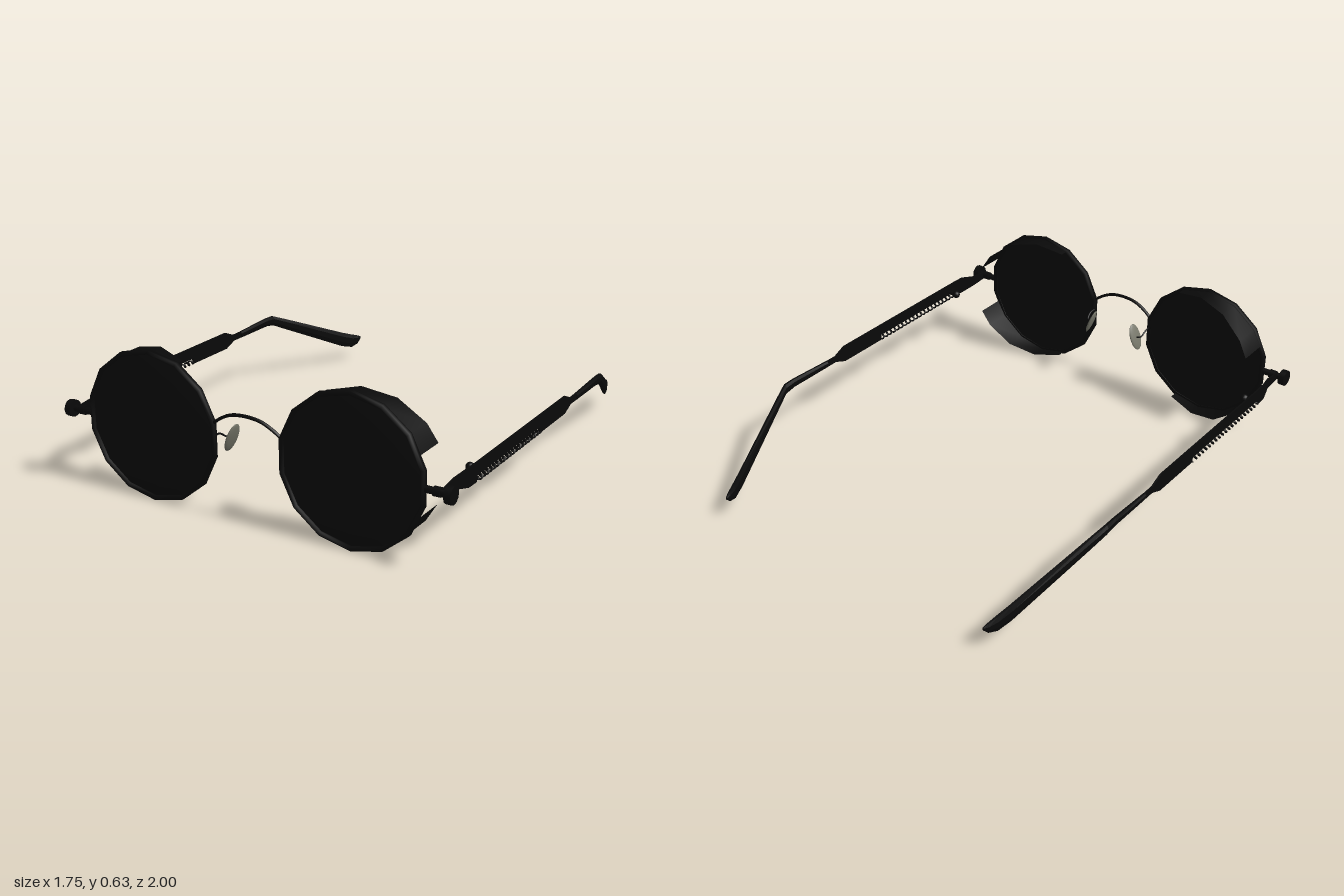
import * as THREE from 'three';

const black = new THREE.MeshStandardMaterial({ color: 0x090909 });
black.name = 'frameBlack';
const lensBlack = new THREE.MeshStandardMaterial({ color: 0x0c0c0c });
lensBlack.name = 'lensBlack';
const shieldBlack = new THREE.MeshStandardMaterial({ color: 0x090909, side: THREE.DoubleSide });
shieldBlack.name = 'shieldBlack';
const padGrey = new THREE.MeshStandardMaterial({ color: 0x77776a });
padGrey.name = 'padGrey';

const V = (x, y, z) => new THREE.Vector3(x, y, z);
const LENS = V(0.455, 0.32, 0.962);

// Solid through rings running towards -z; section = [z, x, yLow, yHigh, halfThickness]
function loft(sections, sides) {
  const pos = [], idx = [];
  const k = sides === 4 ? Math.SQRT2 : 1;
  for (const [z, x, lo, hi, t] of sections) {
    for (let j = 0; j < sides; j++) {
      const a = ((j + 0.5) / sides) * Math.PI * 2;
      pos.push(x + Math.cos(a) * t * k, (lo + hi) / 2 + Math.sin(a) * (hi - lo) / 2 * k, z);
    }
  }
  const last = (sections.length - 1) * sides;
  for (let i = 0; i < last; i += sides) {
    for (let j = 0; j < sides; j++) {
      const a = i + j, b = i + (j + 1) % sides;
      idx.push(a, a + sides, b, b, a + sides, b + sides);
    }
  }
  for (let j = 1; j < sides - 1; j++) {
    idx.push(0, j, j + 1, last, last + j + 1, last + j);
  }
  const g = new THREE.BufferGeometry();
  g.setAttribute('position', new THREE.Float32BufferAttribute(pos, 3));
  g.setIndex(idx);
  const flat = g.toNonIndexed();
  flat.computeVertexNormals();
  return flat;
}

// Fourteen-sided turned shape facing +z, placed at the lens centre
function turned(points) {
  return new THREE.LatheGeometry(points.map(([r, y]) => new THREE.Vector2(r, y)), 14)
    .rotateX(Math.PI / 2).translate(LENS.x, LENS.y, LENS.z);
}

// Curved side shield; its depth grows towards the temple
function shield(sign) {
  const angles = [23, 38.6, 64.3, 90, 115];
  const g = new THREE.PlaneGeometry(1, 1, angles.length - 1, 1);
  const p = g.attributes.position;
  for (let i = 0; i < p.count; i++) {
    const a = angles[i % angles.length] * Math.PI / 180;
    const x = LENS.x + Math.cos(a) * 0.306;
    const back = 0.915 - (x - 0.33) * 0.235;
    p.setXYZ(i, x, LENS.y + sign * Math.sin(a) * 0.306, i < angles.length ? 0.96 : back);
  }
  g.computeVertexNormals();
  return g;
}

// Cylinder lying along x between two x positions
function rodX(x0, x1, r, y, z, sides = 12) {
  return new THREE.CylinderGeometry(r, r, x1 - x0, sides).rotateZ(Math.PI / 2)
    .translate((x0 + x1) / 2, y, z);
}

const wire = (points, r, n = 16) =>
  new THREE.TubeGeometry(new THREE.CatmullRomCurve3(points), n, r, 6);

// Mirror across x, restoring the corner order
function mirrored(geometry) {
  const g = geometry.index ? geometry.toNonIndexed() : geometry.clone();
  g.scale(-1, 1, 1);
  for (const attr of Object.values(g.attributes)) {
    const n = attr.itemSize;
    for (let i = 0; i < attr.count; i += 3) {
      for (let c = 0; c < n; c++) {
        const u = (i + 1) * n + c, w = (i + 2) * n + c;
        [attr.array[u], attr.array[w]] = [attr.array[w], attr.array[u]];
      }
    }
  }
  return g;
}

export function createModel() {
  const model = new THREE.Group();
  model.name = 'sunglasses';
  const left = new THREE.Group(), right = new THREE.Group();
  left.name = 'leftSide';
  right.name = 'rightSide';
  model.add(left, right);

  const pair = (name, geometry, material) => {
    for (const [group, g] of [[left, geometry], [right, mirrored(geometry)]]) {
      const mesh = new THREE.Mesh(g, material);
      mesh.name = name;
      group.add(mesh);
    }
  };

  // Domed lens, rim and the two shields
  pair('lens', turned([[0, 0.006], [0.16, 0.003], [0.3, -0.006], [0.3, 0], [0.16, 0.01], [0, 0.013]]), lensBlack);
  pair('rim', turned([[0.297, -0.009], [0.315, -0.009], [0.315, 0.008], [0.297, 0.008], [0.297, -0.009]]), black);
  pair('upperShield', shield(1), shieldBlack);
  pair('lowerShield', shield(-1), shieldBlack);

  // Nose pad on its wire
  pair('nosePadWire', wire([V(0.152, 0.34, 0.962), V(0.155, 0.335, 0.925), V(0.148, 0.315, 0.895), V(0.128, 0.312, 0.886)], 0.004), black);
  pair('nosePad', new THREE.SphereGeometry(1, 16, 12).scale(0.009, 0.064, 0.034)
    .rotateY(0.15).rotateZ(0.36).translate(0.125, 0.312, 0.888), padGrey);

  // Hinge: bar, collar and end cap
  pair('hingeBar', rodX(0.762, 0.855, 0.014, 0.32, 0.96), black);
  pair('hingeCollar', rodX(0.795, 0.825, 0.019, 0.32, 0.96), black);
  pair('hingeCap', rodX(0.85, 0.877, 0.035, 0.32, 0.963), black);

  // Flat temple plate, notched below for the spring
  pair('temple', loft([
    [0.965, 0.83, 0.305, 0.335, 0.004],
    [0.87, 0.83, 0.298, 0.345, 0.004],
    [0.8, 0.848, 0.283, 0.36, 0.004],
    [0.74, 0.85, 0.283, 0.36, 0.004],
    [0.735, 0.85, 0.308, 0.36, 0.004],
    [0.185, 0.85, 0.308, 0.36, 0.004],
    [0.18, 0.85, 0.283, 0.36, 0.004],
    [-0.07, 0.85, 0.283, 0.36, 0.004],
    [-0.13, 0.85, 0.306, 0.334, 0.004],
    [-0.2, 0.85, 0.306, 0.334, 0.004],
  ], 4), black);

  // Coil spring along the notch
  const coil = [];
  const turns = 20;
  for (let i = 0; i <= turns * 8; i++) {
    const a = (i / 8) * Math.PI * 2;
    coil.push(V(0.85 + Math.cos(a) * 0.009, 0.292 + Math.sin(a) * 0.008, 0.735 - 0.555 * i / (turns * 8)));
  }
  pair('spring', new THREE.TubeGeometry(new THREE.CatmullRomCurve3(coil), turns * 10, 0.004, 5), black);

  // Screw with a round head on the inner side
  pair('screw', rodX(0.8, 0.85, 0.01, 0.32, 0.7), black);
  pair('screwHead', new THREE.SphereGeometry(0.018, 12, 8).translate(0.807, 0.32, 0.702), black);
  pair('screwNut', rodX(0.832, 0.848, 0.016, 0.32, 0.72, 6), black);

  // Temple tip bending down and inwards behind the ear
  pair('templeTip', loft([
    [-0.185, 0.85, 0.304, 0.336, 0.01],
    [-0.4, 0.85, 0.303, 0.345, 0.011],
    [-0.455, 0.849, 0.294, 0.343, 0.012],
    [-0.52, 0.829, 0.262, 0.317, 0.012],
    [-0.88, 0.715, 0.088, 0.166, 0.012],
    [-0.94, 0.696, 0.07, 0.143, 0.012],
    [-0.98, 0.684, 0.082, 0.128, 0.009],
    [-1, 0.678, 0.104, 0.118, 0.004],
  ], 8), black);

  // Arched bridge
  const bridge = new THREE.Mesh(wire([
    V(-0.16, 0.385, 0.962), V(-0.13, 0.41, 0.966), V(-0.07, 0.441, 0.97), V(0, 0.45, 0.972),
    V(0.07, 0.441, 0.97), V(0.13, 0.41, 0.966), V(0.16, 0.385, 0.962),
  ], 0.007, 24), black);
  bridge.name = 'bridge';
  model.add(bridge);

  return model;
}
